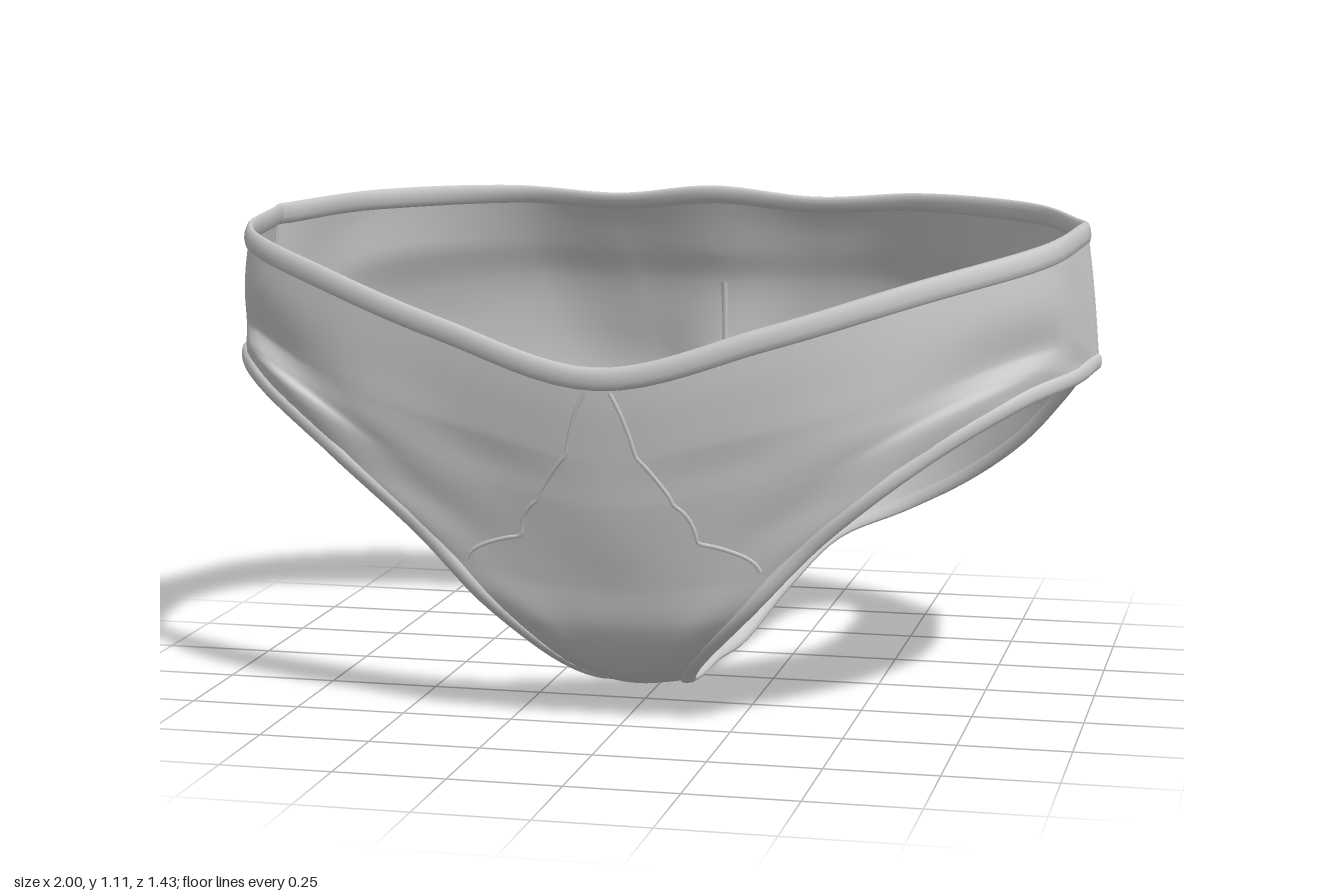
import * as THREE from 'three';

const V = (a) => new THREE.Vector3(...a);
const material = new THREE.MeshStandardMaterial({ color: 0xcccccc, side: THREE.DoubleSide });

// Cross-rows of the cloth, each from the centre line out to the left edge.
const frontRows = [
  [[0, .83, .705], [.35, .92, .66], [.65, 1.01, .55], [.89, 1.07, .35], [.955, 1.09, -.02]],
  [[0, .74, .69], [.35, .81, .65], [.66, .89, .55], [.91, .94, .34], [.975, .93, -.02]],
  [[0, .63, .665], [.31, .69, .64], [.63, .77, .56], [.925, .85, .29], [.99, .76, -.02]],
  [[0, .57, .65], [.28, .62, .625], [.57, .69, .58], [.87, .80, .4], [.965, .755, .2]],
  [[0, .51, .635], [.25, .55, .615], [.48, .61, .59], [.74, .73, .52], [.86, .725, .41]],
  [[0, .42, .605], [.18, .44, .595], [.35, .48, .58], [.54, .55, .565], [.67, .61, .53]],
  [[0, .33, .57], [.13, .34, .57], [.25, .36, .565], [.36, .39, .56], [.46, .44, .55]],
  [[0, .22, .53], [.09, .22, .53], [.17, .23, .535], [.24, .25, .53], [.31, .28, .53]],
];
const backRows = [
  [[0, .3, -.55], [.07, .27, -.57], [.15, .24, -.6], [.22, .23, -.62], [.3, .22, -.62]],
  [[0, .42, -.6], [.12, .4, -.66], [.25, .36, -.68], [.36, .32, -.68], [.46, .29, -.65]],
  [[0, .52, -.62], [.15, .52, -.69], [.32, .49, -.71], [.48, .44, -.69], [.62, .38, -.6]],
  [[0, .63, -.64], [.18, .64, -.7], [.4, .62, -.715], [.62, .59, -.64], [.77, .5, -.49]],
  [[0, .74, -.64], [.2, .75, -.68], [.45, .75, -.69], [.74, .72, -.54], [.88, .63, -.37]],
  [[0, .86, -.62], [.22, .86, -.65], [.48, .86, -.65], [.82, .82, -.42], [.95, .73, -.19]],
  [[0, .94, -.58], [.24, .94, -.61], [.5, .95, -.59], [.87, .91, -.29], [.99, .76, -.02]],
  [[0, 1.02, -.545], [.25, 1.015, -.57], [.5, 1.025, -.55], [.84, 1.02, -.3], [.975, .93, -.02]],
  [[0, 1.11, -.5], [.25, 1.085, -.52], [.5, 1.1, -.51], [.8, 1.1, -.32], [.955, 1.09, -.02]],
];
// Narrow gusset rows: centre height, centre z, then the edge point
const gussetRow = ([cy, cz, ex, ey, ez]) => [0, .25, .5, .75, 1].map((t) =>
  [ex * t, cy + (ey - cy) * t * t, cz + (ez - cz) * t]);
const gussetRows = [
  [.1, .43, .18, .145, .43], [.04, .25, .115, .055, .24], [.028, .05, .1, .022, .05],
  [.035, -.12, .095, .012, -.12], [.09, -.3, .12, .014, -.33], [.19, -.45, .2, .12, -.5],
].map(gussetRow);

// Every row becomes a mirrored curve running from right edge to left edge
const rowCurves = [...frontRows, ...gussetRows, ...backRows].map((row) =>
  new THREE.CatmullRomCurve3([
    ...row.slice(1).reverse().map(([x, y, z]) => V([-x, y, z])), ...row.map(V)]));
const LAST = rowCurves.length - 1, LEG0 = 2, LEG1 = LAST - 2;

// Surface point: c runs -4..4 across, r runs 0..LAST from front waist to back waist
const columns = new Map();
function surface(c, r) {
  if (!columns.has(c)) {
    const pts = rowCurves.map((k) => k.getPoint((c + 4) / 8));
    columns.set(c, [[0, LEG0], [LEG0, LEG1], [LEG1, LAST]].map(([a, b]) =>
      ({ a, b, curve: new THREE.CatmullRomCurve3(pts.slice(a, b + 1)) })));
  }
  const { a, b, curve } = columns.get(c).find((s) => r <= s.b);
  return curve.getPoint((r - a) / (b - a));
}
function normal(c, r) {
  const e = .04, lim = (v, a, b) => Math.min(b, Math.max(a, v));
  const tc = surface(lim(c + e, -4, 4), r).sub(surface(lim(c - e, -4, 4), r));
  const tr = surface(c, lim(r + e, 0, LAST)).sub(surface(c, lim(r - e, 0, LAST)));
  return tr.cross(tc).normalize();
}

function gridMesh(name, rows, cols, at, normalAt) {
  const pos = [], nor = [], index = [];
  for (let i = 0; i <= rows; i++) for (let j = 0; j <= cols; j++) {
    pos.push(...at(i, j).toArray());
    if (normalAt) nor.push(...normalAt(i, j).toArray());
    if (i < rows && j < cols) {
      const a = i * (cols + 1) + j, d = a + cols + 1;
      index.push(a, d, a + 1, a + 1, d, d + 1);
    }
  }
  const g = new THREE.BufferGeometry();
  g.setAttribute('position', new THREE.Float32BufferAttribute(pos, 3));
  g.setIndex(index);
  if (normalAt) g.setAttribute('normal', new THREE.Float32BufferAttribute(nor, 3));
  else g.computeVertexNormals();
  const mesh = new THREE.Mesh(g, material);
  mesh.name = name;
  return mesh;
}

// Cloth panel between two rows
function panel(name, r0, r1) {
  const c = (j) => -4 + j / 6, r = (i) => r0 + i / 4;
  return gridMesh(name, (r1 - r0) * 4, 48,
    (i, j) => surface(c(j), r(i)), (i, j) => normal(c(j), r(i)));
}

// Flattened elastic hem along a closed edge; each entry is [edge c, edge r, inner c, inner r]
function hem(name, path, halfWidth, halfThick) {
  const n = path.length, sides = 10;
  const p = path.map(([c, r]) => surface(c, r));
  const frames = path.map(([, , c, r], i) => {
    const t = p[(i + 1) % n].clone().sub(p[(i + n - 1) % n]).normalize();
    const out = normal(c, r);
    const into = out.clone().cross(t).normalize();
    if (into.dot(surface(c, r).sub(p[i])) < 0) into.negate();
    return { out, into };
  });
  return gridMesh(name, n, sides, (i, j) => {
    const { out, into } = frames[i % n], a = j / sides * Math.PI * 2;
    return p[i % n].clone()
      .addScaledVector(into, halfWidth * (.9 + Math.cos(a)))
      .addScaledVector(out, halfThick * Math.sin(a));
  });
}

// Thin stitched seam through surface positions [c, r]
function seam(name, stops, radius = .005) {
  const pts = [];
  for (let s = 0; s < stops.length - 1; s++) for (let k = 0; k < 6; k++) {
    const f = k / 6, [c0, r0] = stops[s], [c1, r1] = stops[s + 1];
    pts.push(surface(c0 + (c1 - c0) * f, r0 + (r1 - r0) * f));
  }
  pts.push(surface(...stops[stops.length - 1]));
  const g = new THREE.TubeGeometry(new THREE.CatmullRomCurve3(pts), pts.length * 2, radius, 6);
  const mesh = new THREE.Mesh(g, material);
  mesh.name = name;
  return mesh;
}

export function createModel() {
  const group = new THREE.Group();
  group.name = 'briefs';
  group.add(panel('frontPanel', 0, 8), panel('gusset', 8, 13), panel('backPanel', 13, LAST));

  // Waistband: across the front, then back along the rear
  const waist = [];
  for (let j = 0; j < 64; j++) waist.push([-4 + j / 8, 0, -4 + j / 8, .2]);
  for (let j = 0; j < 64; j++) waist.push([4 - j / 8, LAST, 4 - j / 8, LAST - .2]);
  group.add(hem('waistband', waist, .026, .011));

  // Leg hems, side seams and front seams, mirrored
  for (const [side, s] of [['left', 1], ['right', -1]]) {
    const leg = [];
    for (let r = LEG0; r < LEG1; r += .2) leg.push([4 * s, r, 3.75 * s, r]);
    group.add(hem(side + 'LegHem', leg, .018, .009));
    group.add(seam(side + 'SideSeam', [[4 * s, 0], [4 * s, 1], [4 * s, LEG0]], .004));
    group.add(seam(side + 'FrontSeam',
      [[.08 * s, .6], [.25 * s, 2], [.6 * s, 4], [1.1 * s, 5], [2.7 * s, 6]]));
  }
  // Centre back seam
  group.add(seam('centreBackSeam', [[0, 14], [0, 15], [0, 16], [0, 17], [0, 18], [0, 19]], .008));
  return group;
}
